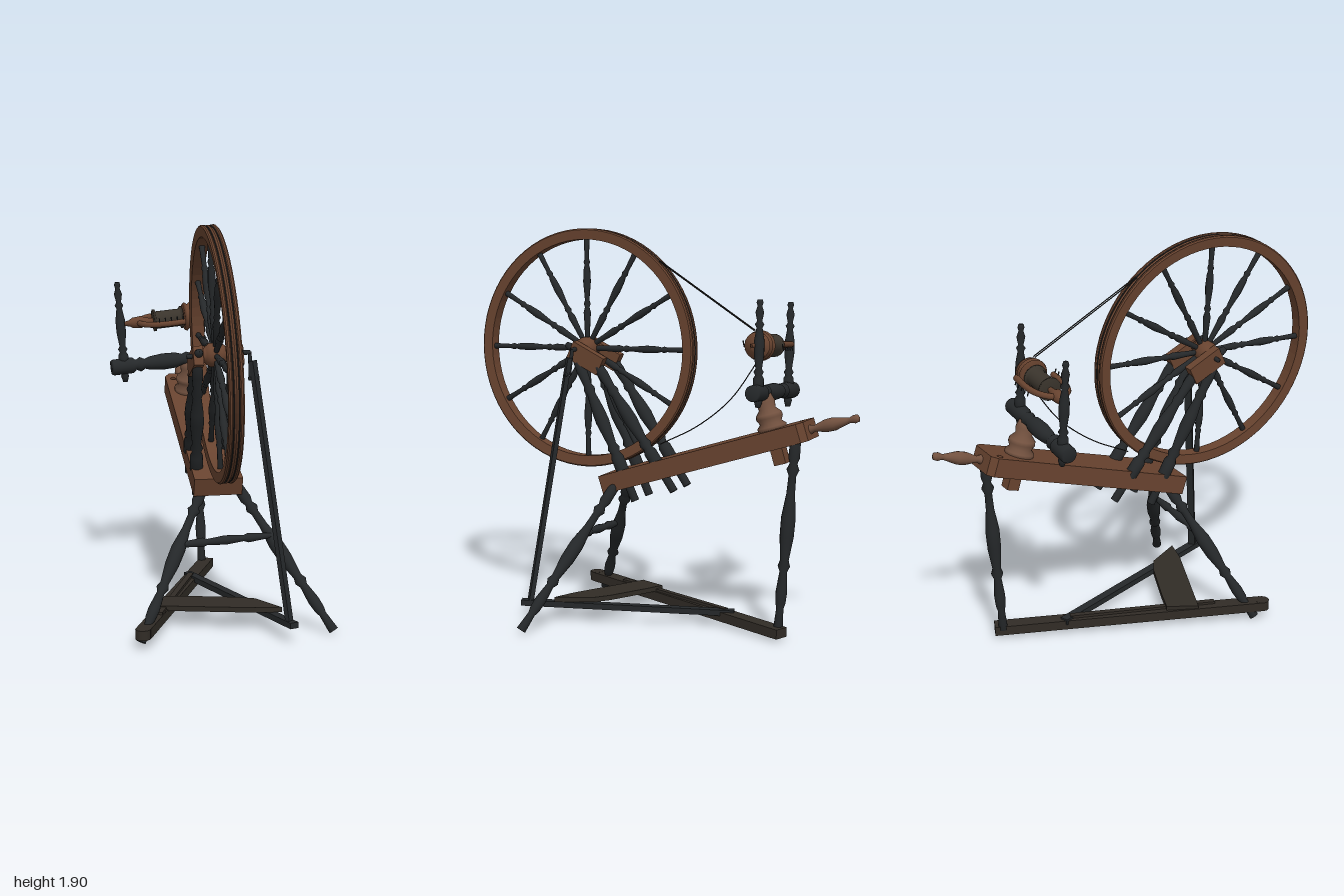
import * as THREE from 'three';

const mat = (name, color) => {
  const m = new THREE.MeshStandardMaterial({ color });
  m.name = name;
  return m;
};
const V = (x, y, z) => new THREE.Vector3(x, y, z);
const UP = V(0, 1, 0);

export function createModel() {
  const brown = mat('brown wood', 0x68432f);
  const tan = mat('light brown wood', 0x72513f);
  const dark = mat('dark wood', 0x25282a);
  const umber = mat('umber wood', 0x312c26);
  const wool = mat('wound bobbin', 0x3a342c);
  const thread = mat('thread', 0x262524);

  const root = new THREE.Group();
  const add = (name, geo, material, parent = root) => {
    const m = new THREE.Mesh(geo, material);
    m.name = name;
    parent.add(m);
    return m;
  };

  // Lathe-turned piece from a to b; profile lists [fraction, radius]
  const turned = (name, material, a, b, profile, parent = root, sides = 14) => {
    const d = b.clone().sub(a), len = d.length();
    const pts = [[0, 0], ...profile, [1, 0]].map(([t, r]) => new THREE.Vector2(r, t * len));
    const m = add(name, new THREE.LatheGeometry(pts, sides), material, parent);
    m.position.copy(a);
    m.quaternion.setFromUnitVectors(UP, d.normalize());
    return m;
  };
  const rod = (name, material, a, b, r, parent = root) =>
    turned(name, material, a, b, [[0, r], [1, r]], parent, 8);

  // Rectangular bar from a to b
  const bar = (name, material, a, b, w, h) => {
    const m = add(name, new THREE.BoxGeometry(w, h, a.distanceTo(b)), material);
    m.position.copy(a).lerp(b, 0.5);
    m.lookAt(b);
    return m;
  };

  const LEG = [[0, .024], [.12, .027], [.15, .018], [.18, .03], [.21, .018], [.3, .02], [.42, .034],
    [.52, .033], [.64, .02], [.67, .029], [.7, .018], [.8, .027], [.86, .024], [.89, .017], [1, .023]];
  const POST = [[0, .02], [.17, .02], [.2, .031], [.3, .031], [.33, .021], [.36, .03], [.39, .021],
    [.55, .033], [.63, .03], [.74, .02], [.77, .028], [.8, .02], [.9, .026], [1, .02]];
  const MAIDEN = [[0, .012], [.06, .02], [.1, .014], [.2, .025], [.27, .025], [.3, .016], [.33, .024], [.36, .015],
    [.5, .024], [.62, .024], [.74, .014], [.77, .022], [.8, .012], [.88, .02], [.94, .011], [.97, .016], [1, .012]];

  // Sloping bench, tapering to the back, with a peg hole
  const outline = new THREE.Shape();
  outline.moveTo(-.115, 0);
  outline.lineTo(.115, 0);
  outline.lineTo(.098, 1.055);
  outline.lineTo(.075, 1.085);
  outline.lineTo(-.075, 1.085);
  outline.lineTo(-.098, 1.055);
  const hole = new THREE.Path();
  hole.absarc(-.06, 1.03, .014, 0, Math.PI * 2, true);
  outline.holes.push(hole);
  const bench = add('bench', new THREE.ExtrudeGeometry(outline, { depth: .09, bevelEnabled: false, curveSegments: 8 }), brown);
  bench.position.set(-.048, .61, .257);
  bench.rotation.x = -1.26;
  turned('rearHandle', tan, V(-.04, .975, -.73), V(-.04, 1.055, -1),
    [[0, .02], [.12, .022], [.2, .015], [.4, .03], [.55, .031], [.78, .015], [.83, .013], [.9, .02], [.97, .017]]);

  // Legs and stretcher
  turned('leftFrontLeg', dark, V(.04, .66, .2), V(.455, 0, .505), LEG);
  turned('rightFrontLeg', dark, V(-.1, .66, .2), V(-.45, 0, .505), LEG);
  turned('rearLeg', dark, V(.02, .97, -.715), V(.03, .03, -.64), LEG);
  turned('legStretcher', dark, V(-.24, .4, .33), V(.19, .425, .33),
    [[0, .012], [.25, .022], [.3, .014], [.5, .022], [.7, .014], [.75, .022], [1, .012]]);

  // Floor bar and treadle
  bar('floorBar', umber, V(-.445, .053, .55), V(.062, .024, -.67), .07, .046);
  const tip = add('floorBarEnd', new THREE.CylinderGeometry(.035, .035, .046, 14), umber);
  tip.position.set(-.447, .053, .552);
  bar('treadleAxle', umber, V(-.34, .068, .34), V(-.08, .055, -.33), .028, .028);
  bar('treadleArm', dark, V(.24, .073, .62), V(-.09, .05, -.37), .042, .028);
  const plate = new THREE.Shape([[-.35, -.24], [-.28, -.1], [-.17, -.14], [.05, -.23], [.13, -.28], [.22, -.45], [.1, -.42], [-.1, -.34]]
    .map(p => new THREE.Vector2(...p)));
  const footGeo = new THREE.ExtrudeGeometry(plate, { depth: .024, bevelEnabled: false });
  footGeo.rotateX(-Math.PI / 2);
  const foot = add('treadleBoard', footGeo, umber);
  foot.position.y = .076;
  foot.rotation.z = .045;

  // Four posts and two bearing blocks that hold the wheel
  for (const [low, high] of [[-.125, -.172], [.035, .012]]) {
    turned('wheelPost', dark, V(low, .585, .1), V(high, 1.27, .43), POST);
    turned('wheelPost', dark, V(low, .65, -.105), V(high, 1.25, .325), POST);
    const block = add('bearingBlock', new THREE.BoxGeometry(.046, .09, .18), brown);
    block.position.set(high, 1.265, .37);
    block.rotation.x = -.45;
    turned('bearingPeg', dark, V(high, 1.29, .41), V(high, 1.325, .48), [[0, .02], [.5, .014], [.7, .02], [1, .014]]);
  }

  // Wheel, built around its own y axis and then leaned
  const wheel = new THREE.Group();
  wheel.name = 'wheel';
  wheel.position.set(-.09, 1.3, .417);
  wheel.quaternion.setFromUnitVectors(UP, V(1, .05, .03).normalize());
  root.add(wheel);
  const rim = [[.53, -.03], [.577, -.034], [.583, -.028], [.583, -.02], [.574, -.012], [.582, 0], [.574, .012],
    [.583, .02], [.583, .028], [.577, .034], [.53, .03], [.53, -.03]].map(p => new THREE.Vector2(...p));
  const creased = new THREE.LatheGeometry(rim, 72).toNonIndexed();
  creased.computeVertexNormals();
  add('rim', creased, brown, wheel);
  for (const y of [-.012, .012]) {
    const band = add('rimCord', new THREE.TorusGeometry(.578, .0035, 5, 72), thread, wheel);
    band.rotation.x = Math.PI / 2;
    band.position.y = y;
  }
  for (let i = 0; i < 12; i++) {
    const a = i * Math.PI / 6, c = Math.cos(a), s = Math.sin(a);
    turned('spoke', dark, V(c * .035, 0, s * .035), V(c * .535, 0, s * .535),
      [[0, .012], [.15, .014], [.28, .018], [.33, .011], [.36, .017], [.4, .011], [.58, .019],
        [.7, .016], [.74, .011], [.77, .016], [.8, .011], [1, .014]], wheel, 10);
  }
  turned('hub', brown, V(0, -.07, 0), V(0, .07, 0),
    [[0, .03], [.15, .034], [.2, .042], [.32, .055], [.68, .055], [.8, .042], [.85, .034], [1, .03]], wheel, 20);
  rod('axle', dark, V(0, -.13, 0), V(0, .16, 0), .011, wheel);

  // Crank and the rod down to the treadle
  rod('crankArm', dark, V(.068, 1.31, .42), V(.07, 1.19, .435), .009);
  rod('crankPin', dark, V(.06, 1.19, .435), V(.11, 1.19, .435), .009);
  const pitman = bar('treadleRod', dark, V(.08, 1.27, .43), V(.227, .07, .58), .022, .034);
  pitman.rotateZ(Math.PI / 2);

  // Upright carrier: turned collar on the bench and a tenon below it
  turned('carrierCollar', tan, V(-.05, .96, -.575), V(-.05, 1.13, -.525),
    [[0, .068], [.15, .07], [.25, .052], [.38, .064], [.48, .062], [.62, .04], [.8, .045], [1, .035]], root, 18);
  bar('carrierTenon', brown, V(-.05, 1, -.565), V(-.05, .81, -.622), .06, .06);
  turned('carrierCrossbar', dark, V(-.45, 1.103, -.525), V(.1, 1.155, -.525),
    [[0, .034], [.02, .04], [.2, .04], [.23, .025], [.27, .037], [.31, .025], [.36, .034], [.48, .041],
      [.6, .038], [.66, .027], [.7, .036], [.74, .027], [.78, .039], [.98, .039], [1, .034]], root, 18);
  turned('rightMaiden', dark, V(-.378, 1.03, -.525), V(-.417, 1.535, -.52), MAIDEN);
  turned('leftMaiden', dark, V(.022, 1.08, -.525), V(-.005, 1.58, -.52), MAIDEN);

  // Flyer, bobbin and whorl, along a slightly tilted x axis
  const flyer = new THREE.Group();
  flyer.name = 'flyer';
  flyer.position.set(0, 1.365, -.5);
  flyer.rotation.set(.12, 0, .1);
  root.add(flyer);
  const u = [[-.09, .095], [-.19, .097], [-.26, .08], [-.3, .045], [-.315, 0], [-.3, -.045], [-.26, -.08], [-.19, -.097], [-.09, -.095]];
  const path = new THREE.CatmullRomCurve3(u.map(([x, z]) => V(x, 0, z)));
  add('flyerArms', new THREE.TubeGeometry(path, 36, .015, 8), brown, flyer);
  turned('spindle', brown, V(-.385, 0, 0), V(.035, 0, 0),
    [[0, .01], [.06, .016], [.1, .026], [.2, .03], [.27, .018], [.35, .012], [1, .011]], flyer);
  turned('bobbin', wool, V(-.24, 0, 0), V(-.09, 0, 0),
    [[0, .055], [.08, .055], [.1, .044], [.9, .044], [.92, .055], [1, .055]], flyer, 20);
  turned('whorl', brown, V(-.085, 0, 0), V(-.005, 0, 0),
    [[0, .066], [.15, .072], [.3, .06], [.45, .07], [.6, .056], [.75, .064], [.85, .035], [1, .028]], flyer, 24);
  for (const side of [-1, 1]) {
    for (let i = 0; i < 5; i++) {
      rod('flyerHook', dark, V(-.1 - i * .03, 0, side * .096), V(-.1 - i * .03, side * .032, side * .1), .003, flyer);
    }
  }

  // Drive cord: taut above, sagging below
  for (const dx of [0, .014]) {
    const top = new THREE.LineCurve3(V(-.105 + dx, 1.735, .03), V(-.055 + dx, 1.43, -.48));
    add('upperDriveCord', new THREE.TubeGeometry(top, 2, .0028, 5), thread);
  }
  const sag = new THREE.CatmullRomCurve3([V(-.06, .855, .01), V(-.056, .96, -.19), V(-.052, 1.1, -.36), V(-.048, 1.295, -.5)]);
  add('lowerDriveCord', new THREE.TubeGeometry(sag, 20, .0028, 5), thread);

  return root;
}
